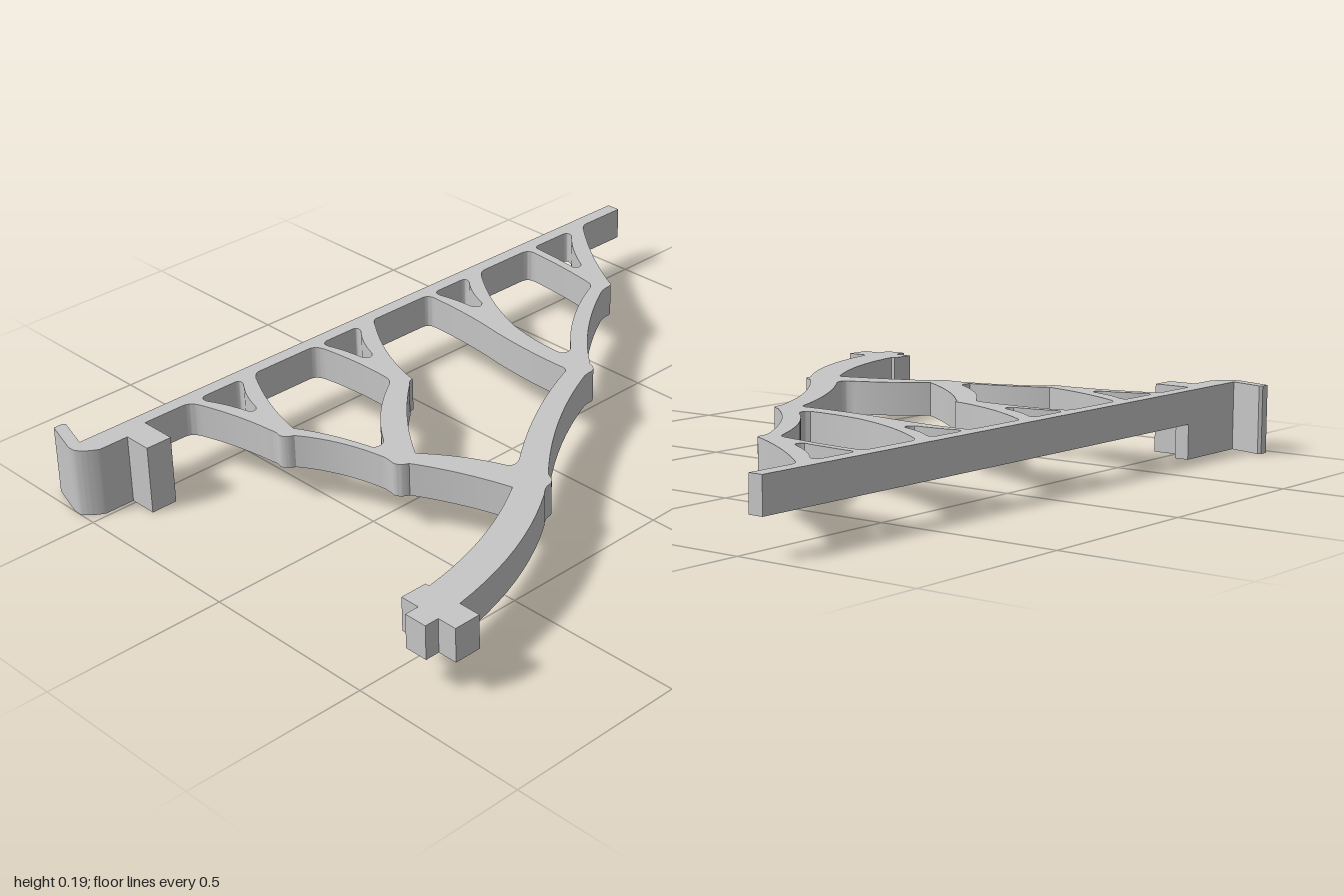
import * as THREE from 'three';
import { toCreasedNormals } from 'three/addons/utils/BufferGeometryUtils.js';

// Plan outlines in (x, z), all running the same way round.
// Two numbers: straight to that point. Four: curve to the last pair, bending toward the first.
function trace(steps) {
  const path = new THREE.Path();
  steps.forEach((s, i) => {
    if (i === 0) path.moveTo(s[0], -s[1]);
    else if (s.length === 2) path.lineTo(s[0], -s[1]);
    else path.quadraticCurveTo(s[0], -s[1], s[2], -s[3]);
  });
  return path.getPoints(10);
}

// Stand a plan outline up as a slab between two heights; holes wind opposite to the outline
function slab(name, outline, holes, y0, y1, material) {
  const shape = new THREE.Shape(trace(outline));
  shape.holes = holes.map((h) => new THREE.Path(trace(h).reverse()));
  let geo = new THREE.ExtrudeGeometry(shape, { depth: y1 - y0, bevelEnabled: false });
  geo.rotateX(-Math.PI / 2);
  geo.translate(0, y0, 0);
  geo = toCreasedNormals(geo, 0.5);
  const mesh = new THREE.Mesh(geo, material);
  mesh.name = name;
  return mesh;
}

export function createModel() {
  const group = new THREE.Group();
  group.name = 'branchingBracket';
  const grey = new THREE.MeshStandardMaterial({ color: 0xc6c6c6 });
  grey.name = 'plainGrey';
  const T = -0.535; // lower edge of the shelf bar

  // Shelf bar, outer branches, curved main arm and its cross-shaped plug
  const outline = [
    [-0.73, -0.575], [1, -0.575], [1, T], [0.86, T], [0.84, T, 0.82, -0.51],
    [0.7, -0.37, 0.625, -0.23], [0.62, -0.21, 0.6, -0.209], [0.58, -0.21, 0.56, -0.2],
    [0.36, -0.09, 0.235, 0.06], [0.225, 0.09, 0.205, 0.092], [0.18, 0.092, 0.165, 0.1],
    [-0.06, 0.195, -0.25, 0.37], [-0.26, 0.4, -0.28, 0.405], [-0.3, 0.405, -0.32, 0.425],
    [-0.53, 0.57, -0.79, 0.612],
    [-0.79, 0.675], [-0.865, 0.675], [-0.865, 0.62], [-0.905, 0.62], [-0.905, 0.555],
    [-0.865, 0.555], [-0.865, 0.5], [-0.79, 0.5], [-0.79, 0.512],
    [-0.56, 0.48, -0.355, 0.35], [-0.39, 0.21, -0.455, 0.09], [-0.48, 0.08, -0.482, 0.06],
    [-0.475, 0.03, -0.48, 0.01], [-0.5, -0.12, -0.565, -0.215], [-0.59, -0.225, -0.592, -0.245],
    [-0.585, -0.26, -0.59, -0.28], [-0.6, -0.4, -0.635, -0.505], [-0.645, T, -0.67, T],
    [-0.73, T],
  ];

  // Small triangular windows directly under the bar: [left x, right x, foot left x, foot right x, foot z]
  const smallWindows = [
    [-0.61, -0.478, -0.568, -0.54, -0.395],
    [-0.19, -0.063, -0.168, -0.135, -0.395],
    [0.23, 0.352, 0.245, 0.28, -0.395],
    [0.635, 0.775, 0.62, 0.652, -0.365],
  ].map(([l, r, fl, fr, fz]) => [
    [l + 0.02, T], [r - 0.02, T], [r + 0.005, T, r - 0.008, T + 0.025],
    [(r + fr) / 2 - 0.012, (T + fz) / 2, fr, fz], [(fl + fr) / 2, fz + 0.022, fl, fz],
    [(l + fl) / 2 + 0.004, (T + fz) / 2, l, T + 0.025], [l - 0.003, T, l + 0.02, T],
  ]);

  // Large windows between the branches
  const leftWindow = [
    [-0.41, T], [-0.24, T], [-0.216, T, -0.209, -0.505], [-0.192, -0.39, -0.198, -0.28],
    [-0.198, -0.25, -0.22, -0.237], [-0.345, -0.155, -0.425, -0.035], [-0.44, -0.02, -0.465, -0.03],
    [-0.49, -0.15, -0.543, -0.245], [-0.515, -0.38, -0.445, -0.505], [-0.43, T, -0.41, T],
  ];
  const middleWindow = [
    [0.01, T], [0.18, T], [0.208, T, 0.206, -0.505], [0.206, -0.37, 0.183, -0.24],
    [0.165, -0.1, 0.168, 0.02], [0.168, 0.04, 0.15, 0.045], [-0.06, 0.125, -0.25, 0.27],
    [-0.275, 0.285, -0.29, 0.27], [-0.33, 0.16, -0.41, 0.065], [-0.315, -0.085, -0.18, -0.2],
    [-0.17, -0.215, -0.155, -0.215], [-0.15, -0.24, -0.145, -0.26], [-0.105, -0.39, -0.022, -0.505],
    [-0.005, T, 0.01, T],
  ];
  const rightWindow = [
    [0.435, T], [0.58, T], [0.61, T, 0.608, -0.505], [0.602, -0.39, 0.58, -0.27],
    [0.577, -0.25, 0.555, -0.24], [0.385, -0.165, 0.265, -0.04], [0.24, -0.015, 0.222, -0.04],
    [0.22, -0.13, 0.245, -0.23], [0.295, -0.38, 0.39, -0.505], [0.41, T, 0.435, T],
  ];
  group.add(slab('branchingFrame', outline, [...smallWindows, leftWindow, middleWindow, rightWindow], 0.097, 0.19, grey));

  // Taller mounting clip with its angled hook and square lug
  group.add(slab('hookedClip', [
    [-0.73, -0.575], [-0.965, -0.575], [-0.936, -0.672], [-0.942, -0.68], [-0.968, -0.68],
    [-1, -0.575], [-1, -0.555], [-0.99, -0.53, -0.95, -0.51], [-0.865, -0.51], [-0.865, -0.43],
    [-0.79, -0.43], [-0.79, T], [-0.73, T],
  ], [], 0, 0.19, grey));

  return group;
}
